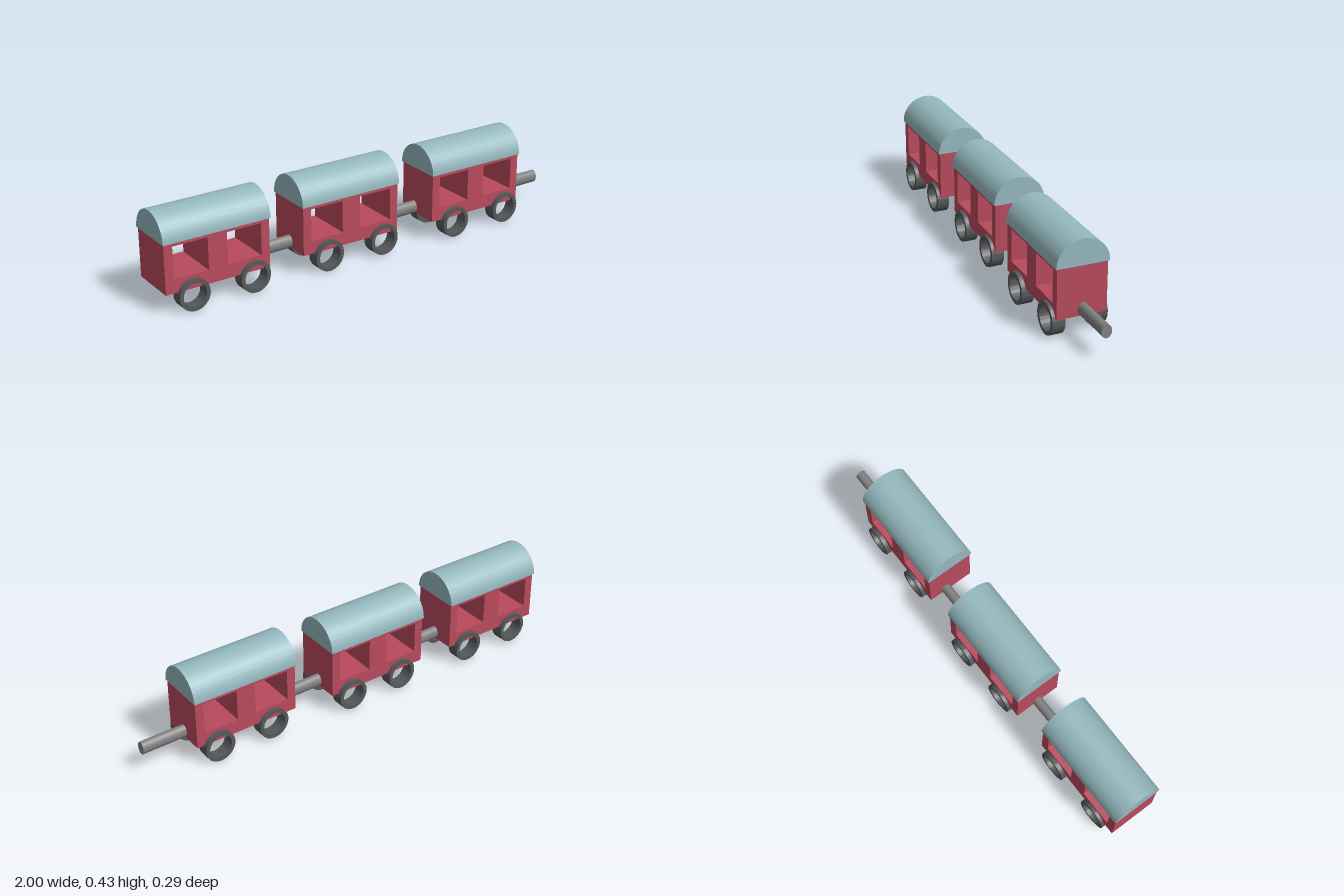
import * as THREE from 'three';
import { toCreasedNormals } from 'three/addons/utils/BufferGeometryUtils.js';

const paint = (color) => new THREE.MeshStandardMaterial({ color });
const red = paint(0xb84a5c);
const teal = paint(0x94b8be);
const darkGrey = paint(0x55585a);
const grey = paint(0x808080);

function extrude(shape, depth, curveSegments) {
  const geo = new THREE.ExtrudeGeometry(shape, { depth, bevelEnabled: false, curveSegments });
  geo.translate(0, 0, -depth / 2);
  return toCreasedNormals(geo, 0.6);
}

function rectangle(path, x0, x1, y0, y1) {
  path.moveTo(x0, y0);
  path.lineTo(x1, y0);
  path.lineTo(x1, y1);
  path.lineTo(x0, y1);
  path.closePath();
  return path;
}

// Solid body with two window openings running right through it
function bodyGeometry() {
  const side = rectangle(new THREE.Shape(), -0.241, 0.241, 0.093, 0.312);
  for (const x of [-0.123, 0.123]) {
    side.holes.push(rectangle(new THREE.Path(), x - 0.079, x + 0.079, 0.153, 0.297));
  }
  return extrude(side, 0.217, 1);
}

// Half-round roof running along x
function roofGeometry() {
  const arch = new THREE.Shape();
  arch.absellipse(0, 0.312, 0.115, 0.113, 0, Math.PI, false, 0);
  arch.closePath();
  return extrude(arch, 0.49, 32).rotateY(Math.PI / 2);
}

// Open ring wheel
function wheelGeometry() {
  const ring = new THREE.Shape();
  ring.absarc(0, 0, 0.07, 0, Math.PI * 2, false);
  const hole = new THREE.Path();
  hole.absarc(0, 0, 0.053, 0, Math.PI * 2, true);
  ring.holes.push(hole);
  return extrude(ring, 0.056, 32);
}

// Oval coupling bar along x
function couplingGeometry() {
  return new THREE.CylinderGeometry(1, 1, 0.209, 32)
    .rotateZ(Math.PI / 2)
    .scale(1, 0.029, 0.0225);
}

export function createModel() {
  const train = new THREE.Group();
  train.name = 'trainCarriages';
  const body = bodyGeometry();
  const roof = roofGeometry();
  const wheel = wheelGeometry();
  const coupling = couplingGeometry();

  const add = (parent, name, geo, material, x = 0, y = 0, z = 0) => {
    const mesh = new THREE.Mesh(geo, material);
    mesh.name = name;
    mesh.position.set(x, y, z);
    parent.add(mesh);
  };

  // Three carriages, each slightly out of line
  const places = [[-0.752, -0.018], [-0.103, -0.012], [0.556, 0.018]];
  for (const [x, z] of places) {
    const carriage = new THREE.Group();
    carriage.name = 'carriage';
    carriage.position.set(x, 0, z);
    train.add(carriage);

    // Body and roof sit at a slight yaw over the wheels
    const cabin = new THREE.Group();
    cabin.name = 'cabin';
    cabin.rotation.y = -0.015;
    add(cabin, 'body', body, red);
    add(cabin, 'roof', roof, teal);
    carriage.add(cabin);

    for (const side of [-1, 1]) {
      add(carriage, 'rearWheel', wheel, darkGrey, -0.122, 0.07, side * 0.098);
      add(carriage, 'leadWheel', wheel, darkGrey, 0.154 + side * 0.01, 0.07, side * 0.098);
    }
    add(carriage, 'coupling', coupling, grey, 0.3395, 0.122, 0);
  }
  return train;
}
